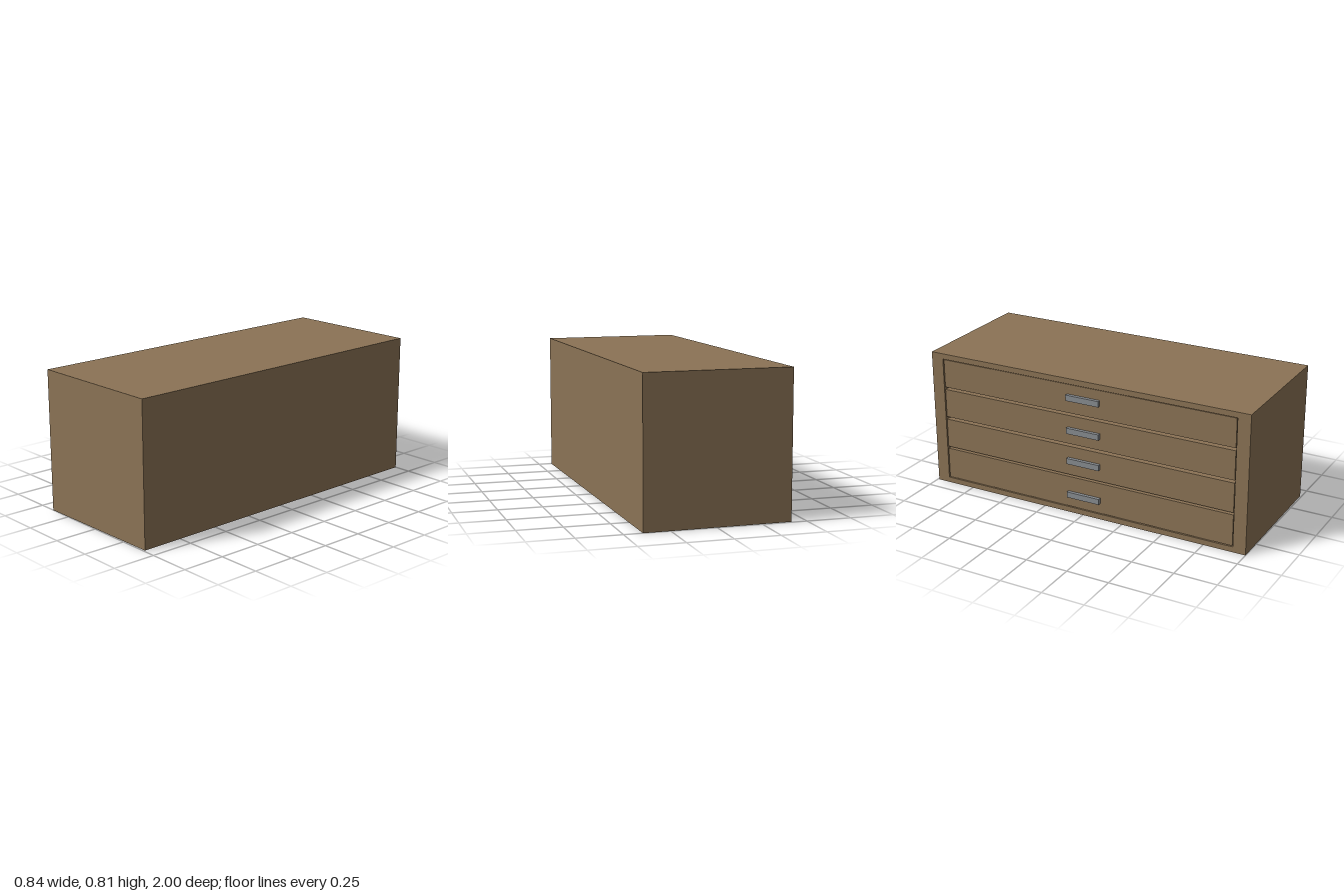
import * as THREE from 'three';

const W = 0.814, H = 0.815, L = 1.991; // depth (x), height, length (z)
const STILE = 0.075, RAIL = 0.032, BACK = 0.03;

const wood = new THREE.MeshStandardMaterial({ color: 0x8b7355 });
const metal = new THREE.MeshStandardMaterial({ color: 0x888c90 });

function box(name, material, size, position) {
  const mesh = new THREE.Mesh(new THREE.BoxGeometry(...size), material);
  mesh.name = name;
  mesh.position.set(...position);
  return mesh;
}

function rectangle(path, x0, y0, x1, y1) {
  path.moveTo(x0, y0).lineTo(x1, y0).lineTo(x1, y1).lineTo(x0, y1).closePath();
  return path;
}

// Open-fronted shell: a rectangular tube running along the cabinet's depth
function carcass() {
  const shape = rectangle(new THREE.Shape(), -L / 2, 0, L / 2, H);
  shape.holes.push(rectangle(new THREE.Path(), -L / 2 + STILE, RAIL, L / 2 - STILE, H - RAIL));
  const geometry = new THREE.ExtrudeGeometry(shape, { depth: W - BACK, bevelEnabled: false });
  geometry.rotateY(-Math.PI / 2).translate(W / 2 - BACK, 0, 0);
  const mesh = new THREE.Mesh(geometry, wood);
  mesh.name = 'carcass';
  return mesh;
}

export function createModel() {
  const model = new THREE.Group();
  model.name = 'drawerCabinet';
  const cabinet = new THREE.Group();
  cabinet.name = 'cabinet';
  // The cabinet stands very slightly turned
  cabinet.rotation.y = 0.011;
  cabinet.position.x = 0.002;
  model.add(cabinet);

  cabinet.add(carcass());
  cabinet.add(box('backPanel', wood, [BACK, H, L], [W / 2 - BACK / 2, H / 2, 0]));

  // Drawers: bottom edge, top edge and handle height; fronts sit just inside the opening
  const drawers = [
    [0.036, 0.221, 0.114],
    [0.234, 0.408, 0.323],
    [0.424, 0.595, 0.508],
    [0.61, 0.779, 0.705],
  ];
  const recess = 0.004, drawerDepth = 0.7, drawerLength = L - 2 * STILE - 0.01;
  const face = -W / 2 + recess;
  for (const [bottom, top, handleY] of drawers) {
    const drawer = new THREE.Group();
    drawer.name = 'drawer';
    drawer.add(box('drawerBody', wood, [drawerDepth, top - bottom, drawerLength],
      [face + drawerDepth / 2, (bottom + top) / 2, 0]));
    drawer.add(box('handle', metal, [0.02, 0.034, 0.205], [face - 0.01, handleY, 0.005]));
    cabinet.add(drawer);
  }
  return model;
}
